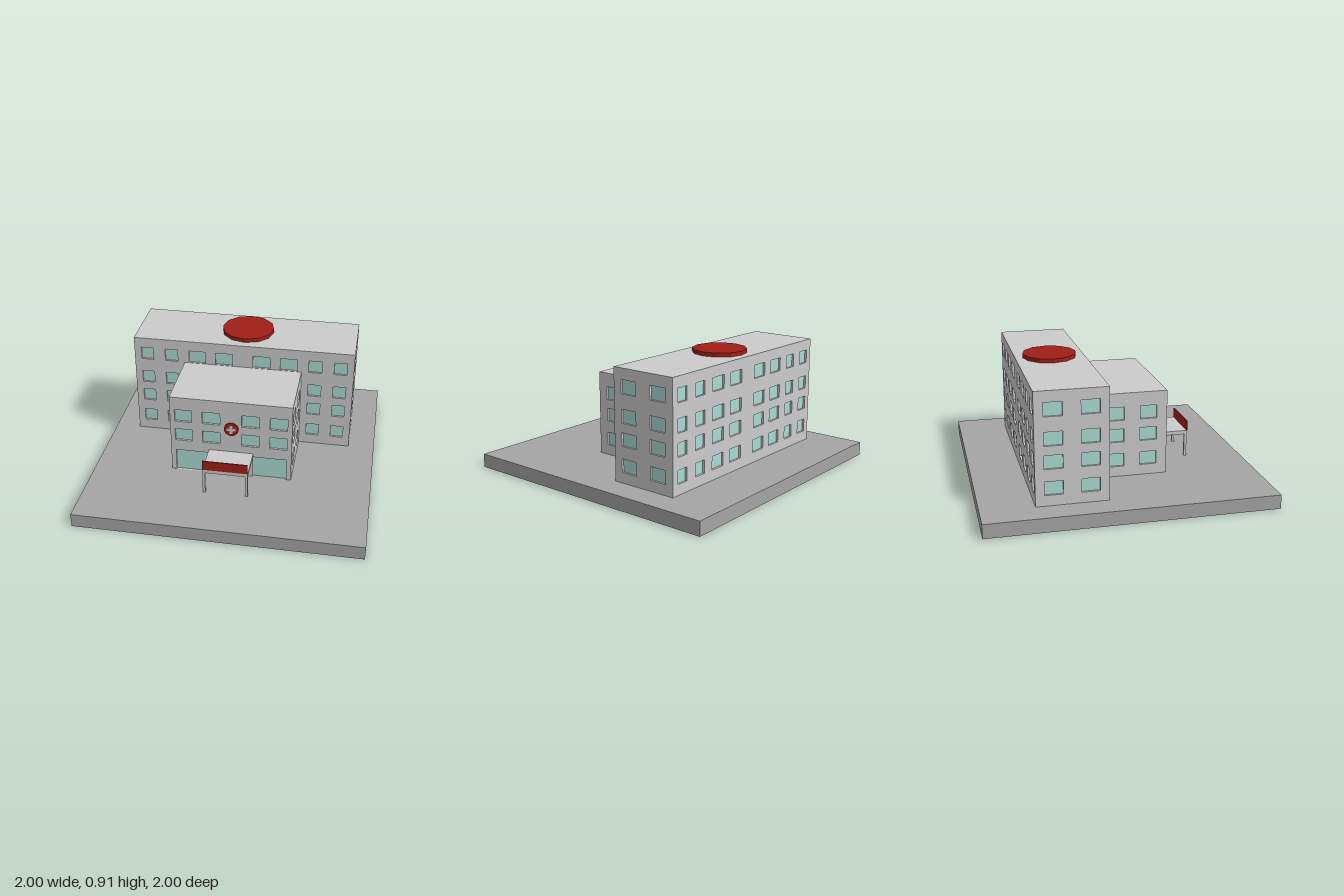
import * as THREE from 'three';

const mat = (color) => new THREE.MeshStandardMaterial({ color, flatShading: true });
const wallMat = mat(0xcccccc);
const groundMat = mat(0xa5a5a5);
const glassMat = mat(0xabdbd4);
const redMat = mat(0x9f1f16);

const GROUND = 0.1, WALL = 0.02, RECESS = 0.015;
const ROWS = [0.222, 0.403, 0.562, 0.76]; // window centre heights, one per floor
const WIN_H = 0.095;

function add(parent, name, geometry, material, x, y, z) {
  const mesh = new THREE.Mesh(geometry, material);
  mesh.name = name;
  mesh.position.set(x, y, z);
  parent.add(mesh);
  return mesh;
}

const box = (parent, name, w, h, d, x, y, z, material = wallMat) =>
  add(parent, name, new THREE.BoxGeometry(w, h, d), material, x, y, z);

// Grid of openings, mirrored about the wall's middle; columns are [centre, width]
function openings(columns, rows) {
  return rows.flatMap((y) => columns.flatMap(([x, w]) =>
    [-1, 1].map((s) => ({ x: s * x, y, w, h: WIN_H }))));
}

function rectangle(target, x0, y0, x1, y1) {
  target.moveTo(x0, y0);
  target.lineTo(x1, y0);
  target.lineTo(x1, y1);
  target.lineTo(x0, y1);
  target.closePath();
  return target;
}

// Wall panel with cut openings and recessed glass, its outer face at local z = distance
function facade(parent, name, width, top, distance, angle, holes) {
  const side = new THREE.Group();
  side.name = name;
  side.rotation.y = angle;
  const shape = rectangle(new THREE.Shape(), -width / 2, GROUND - 0.01, width / 2, top);
  for (const { x, y, w, h } of holes) {
    shape.holes.push(rectangle(new THREE.Path(), x - w / 2, y - h / 2, x + w / 2, y + h / 2));
    add(side, 'windowGlass', new THREE.PlaneGeometry(w, h), glassMat, x, y, distance - RECESS);
  }
  const panel = new THREE.ExtrudeGeometry(shape, { depth: WALL, bevelEnabled: false });
  add(side, 'wall', panel, wallMat, 0, 0, distance - WALL);
  parent.add(side);
}

// Box-shaped building part made of four facades and a roof
function block(name, w, d, top, x, z, holes) {
  const group = new THREE.Group();
  group.name = name;
  group.position.set(x, 0, z);
  facade(group, 'frontWall', w, top, d / 2, 0, holes.front);
  facade(group, 'backWall', w, top, d / 2, Math.PI, holes.back);
  facade(group, 'leftWall', d, top, w / 2, Math.PI / 2, holes.side);
  facade(group, 'rightWall', d, top, w / 2, -Math.PI / 2, holes.side);
  box(group, 'roof', w - 2 * WALL, 0.02, d - 2 * WALL, 0, top - 0.01, 0);
  return group;
}

export function createModel() {
  const model = new THREE.Group();
  model.name = 'hospital';
  box(model, 'groundSlab', 2, GROUND, 2, 0, GROUND / 2, 0, groundMat);

  const inner = [[0.14, 0.127], [0.34, 0.123]];
  const outer = [[0.535, 0.095], [0.718, 0.092]];

  // Tall rear block
  model.add(block('mainBlock', 1.63, 0.495, 0.885, -0.005, -0.3875, {
    front: [...openings(outer, ROWS), ...openings(inner, [ROWS[3]])],
    back: openings([...inner, ...outer], ROWS),
    side: openings([[0.123, 0.125]], ROWS),
  }));

  // Lower front wing with shop-height glazing and a door
  const doorY = GROUND + 0.085;
  model.add(block('entranceWing', 0.87, 0.5, 0.71, -0.005, 0.11, {
    front: [
      ...openings(inner, [ROWS[1], ROWS[2]]),
      ...[-1, 1].map((s) => ({ x: s * 0.28, y: doorY, w: 0.24, h: 0.17 })),
      { x: 0, y: doorY, w: 0.157, h: 0.17 },
    ],
    back: [],
    side: openings([[0.117, 0.12]], ROWS.slice(0, 3)),
  }));

  // Entrance canopy on two posts, with a blank sign board
  const canopy = new THREE.Group();
  canopy.name = 'entranceCanopy';
  canopy.position.x = -0.003;
  box(canopy, 'canopyRoof', 0.32, 0.028, 0.245, 0, 0.284, 0.4825);
  for (const s of [-1, 1]) {
    box(canopy, 'canopyPost', 0.018, 0.18, 0.018, s * 0.15, 0.19, 0.594);
  }
  box(canopy, 'signBoard', 0.316, 0.072, 0.008, 0, 0.334, 0.604, redMat);
  model.add(canopy);

  // Round emblem with a plain cross
  const emblem = new THREE.Group();
  emblem.name = 'crossEmblem';
  emblem.position.set(0, 0.492, 0.36);
  add(emblem, 'emblemDisc', new THREE.CylinderGeometry(0.052, 0.052, 0.01, 24), redMat, 0, 0, 0.005)
    .rotation.x = Math.PI / 2;
  box(emblem, 'crossBar', 0.066, 0.02, 0.006, 0, 0, 0.01);
  box(emblem, 'crossUpright', 0.02, 0.066, 0.006, 0, 0, 0.01);
  model.add(emblem);

  // Rooftop landing pad
  add(model, 'landingPad', new THREE.CylinderGeometry(0.192, 0.192, 0.03, 12), redMat,
    -0.002, 0.898, -0.39);

  return model;
}
